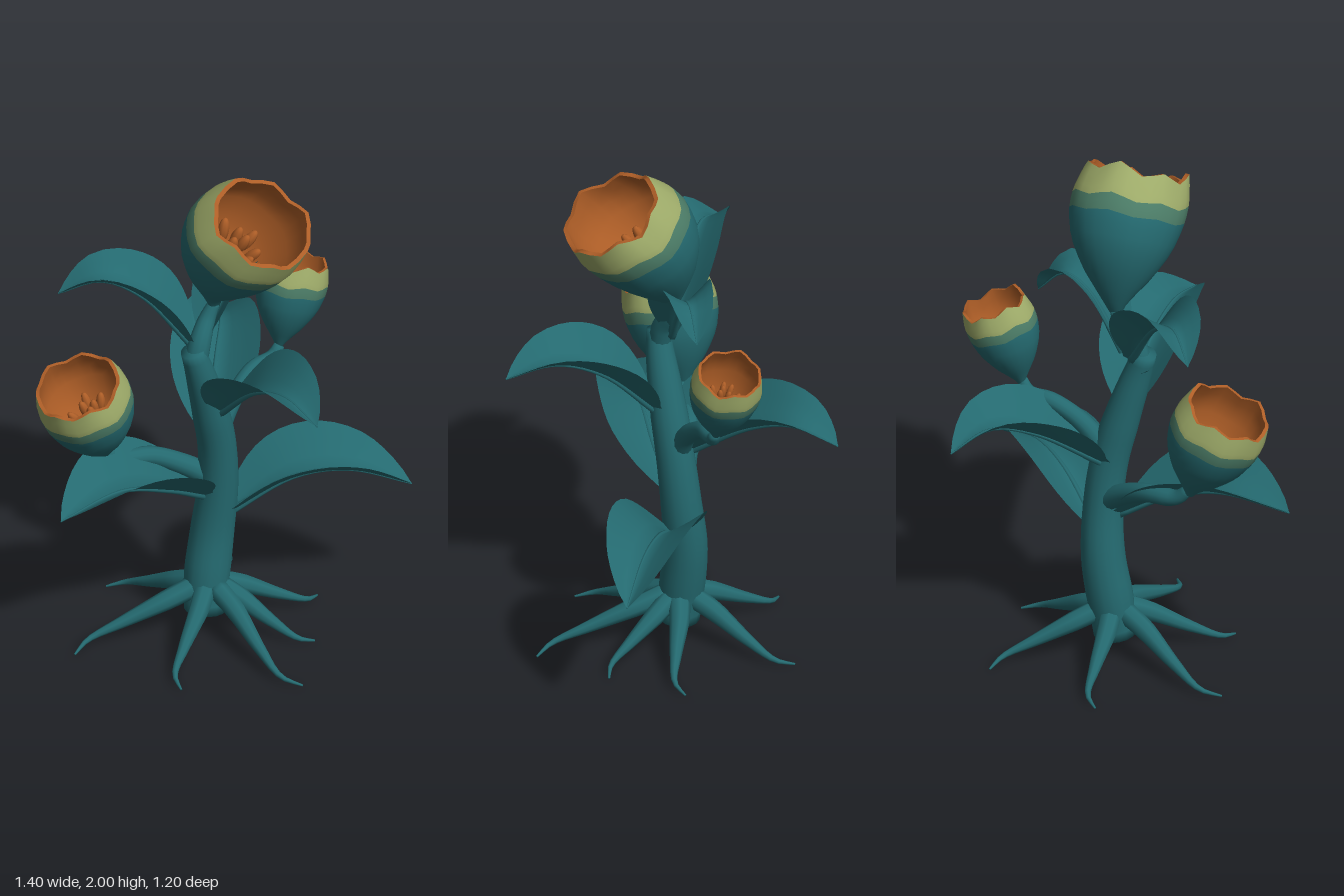
import * as THREE from 'three';

const V = (p) => new THREE.Vector3(...p);
const side = THREE.DoubleSide;
const teal = new THREE.MeshStandardMaterial({ color: 0x24696f, side });
teal.name = 'teal plant';
const midGreen = new THREE.MeshStandardMaterial({ color: 0x4b7b66, side });
midGreen.name = 'mid green band';
const paleGreen = new THREE.MeshStandardMaterial({ color: 0x9ca968, side });
paleGreen.name = 'pale green band';
const orange = new THREE.MeshStandardMaterial({ color: 0xae5e27, side });
orange.name = 'orange lining';

// Skin a list of point rows; closed rows wrap round. Returns an indexed geometry.
function skin(rows, closed) {
  const n = rows[0].length, span = closed ? n : n - 1, index = [];
  for (let i = 0; i < rows.length - 1; i++) {
    for (let j = 0; j < span; j++) {
      const k = (j + 1) % n;
      const a = i * n + j, b = i * n + k, c = a + n, d = b + n;
      index.push(a, c, b, b, c, d);
    }
  }
  const g = new THREE.BufferGeometry().setFromPoints(rows.flat());
  g.setIndex(index);
  g.computeVertexNormals();
  return g;
}

function add(parent, geometry, material, name) {
  const mesh = new THREE.Mesh(geometry, material);
  mesh.name = name;
  parent.add(mesh);
  return mesh;
}

// Tube whose radius follows a list of values, closed at both ends
function taperedTube(points, radii, steps = 20, sides = 12) {
  const curve = new THREE.CatmullRomCurve3(points.map(V));
  const frames = curve.computeFrenetFrames(steps, false);
  const ring = (i, r) => Array.from({ length: sides }, (_, j) => {
    const t = (j / sides) * Math.PI * 2;
    return curve.getPointAt(i / steps)
      .addScaledVector(frames.normals[i], r * Math.cos(t))
      .addScaledVector(frames.binormals[i], -r * Math.sin(t));
  });
  const rows = [ring(0, 0)];
  for (let i = 0; i <= steps; i++) {
    const f = (i / steps) * (radii.length - 1);
    const k = Math.min(Math.floor(f), radii.length - 2);
    rows.push(ring(i, THREE.MathUtils.lerp(radii[k], radii[k + 1], f - k)));
  }
  rows.push(ring(steps, 0));
  return skin(rows, true);
}

// Arched leaf with a deep V fold along the midrib
function makeLeaf(points, width) {
  const leaf = new THREE.Group();
  leaf.name = 'leaf';
  const curve = new THREE.CatmullRomCurve3(points.map(V));
  const heading = V(points[points.length - 1]).sub(V(points[0])).setY(0);
  const across = new THREE.Vector3(0, 1, 0).cross(heading).normalize();
  const rows = [];
  for (let i = 0; i <= 18; i++) {
    const u = i / 18;
    const blade = Math.pow(Math.max(0, Math.sin(Math.PI * Math.pow(u, 0.9))), 0.8);
    const w = width * Math.max(blade, 0.2 * (1 - u));
    const up = curve.getTangentAt(u).cross(across).normalize();
    rows.push([-1, -0.66, -0.33, 0, 0.33, 0.66, 1].map((v) => curve.getPointAt(u)
      .addScaledVector(across, v * w)
      .addScaledVector(up, 0.7 * w * Math.pow(Math.abs(v), 1.2))));
  }
  add(leaf, skin(rows, false), teal, 'leafBlade');
  add(leaf, taperedTube(points, [0.016, 0.009, 0.003], 18, 6), teal, 'midrib');
  return leaf;
}

// Cup profile as (radius, height)
const profile = new THREE.SplineCurve([
  [0.018, 0], [0.055, 0.06], [0.11, 0.13], [0.153, 0.2], [0.187, 0.27],
  [0.208, 0.35], [0.215, 0.41], [0.211, 0.47], [0.192, 0.55],
].map(([x, y]) => new THREE.Vector2(x, y)));

// Flower cup that sags away from its heading
function makeFlower(base, rim, radiusScale, bend, phase) {
  const flower = new THREE.Group();
  flower.name = 'flower';
  const axis = V(rim).sub(V(base));
  const heading = axis.clone().setY(0).normalize();
  flower.position.copy(V(base));
  flower.scale.set(radiusScale, axis.length() / 0.55, radiusScale);
  flower.quaternion.setFromUnitVectors(new THREE.Vector3(0, 1, 0), axis.normalize());
  const sag = (t) => -bend * Math.sin(Math.PI * 0.8 * Math.pow(t, 0.7));

  // Ring at t from base to rim; the rim is jagged and the bands echo it
  const ring = (t, inset) => Array.from({ length: 28 }, (_, j) => {
    const a = (j / 28) * Math.PI * 2;
    const p = profile.getPoint(t), r = Math.max(p.x - inset, 0.003);
    const tooth = Math.abs((j % 4) - 2) - 1;
    const jag = (0.017 * tooth + 0.011 * Math.sin(a * 3 + phase)) * Math.pow(t, 3);
    return new THREE.Vector3(r * Math.cos(a), p.y + jag, r * Math.sin(a))
      .addScaledVector(heading, sag(t));
  });

  // Outer cup: teal, mid green and pale green bands
  const ts = [0, 0.09, 0.18, 0.27, 0.36, 0.45, 0.53, 0.61, 0.68, 0.75, 0.815, 0.87, 0.935, 1];
  const cup = skin(ts.map((t) => ring(t, 0)), true);
  const perRow = 28 * 6;
  cup.addGroup(0, 8 * perRow, 0);
  cup.addGroup(8 * perRow, 2 * perRow, 1);
  cup.addGroup(10 * perRow, 3 * perRow, 2);
  add(flower, cup, [teal, midGreen, paleGreen], 'cup');

  // Orange lip and lining
  add(flower, skin([ring(1, 0), ring(1, 0.016)], true), orange, 'lip');
  const inner = [1, 0.9, 0.78, 0.65, 0.5, 0.38, 0.27, 0.18, 0.1];
  add(flower, skin(inner.map((t) => ring(t, 0.016)), true), orange, 'lining');

  // Stamens spreading from the middle of the cup
  for (let i = 0; i < 9; i++) {
    const a = i * 2.4 + phase, r = i < 3 ? 0.025 : 0.075;
    const foot = new THREE.Vector3(0, 0.1, 0).addScaledVector(heading, sag(0.2));
    const tip = new THREE.Vector3(r * Math.cos(a), i < 3 ? 0.35 : 0.32, r * Math.sin(a))
      .addScaledVector(heading, sag(0.5));
    const lean = tip.clone().sub(foot).normalize();
    add(flower, new THREE.TubeGeometry(new THREE.LineCurve3(foot, tip), 1, 0.007, 5), orange, 'filament');
    const anther = add(flower, new THREE.SphereGeometry(0.021, 8, 8), orange, 'anther');
    anther.scale.y = 2.6;
    anther.position.copy(tip);
    anther.quaternion.setFromUnitVectors(new THREE.Vector3(0, 1, 0), lean);
  }
  return flower;
}

export function createModel() {
  const plant = new THREE.Group();
  plant.name = 'floweringPlant';

  // Stem, neck and side branches
  const stem = [[-0.01, 0.08, -0.06], [0, 0.2, -0.07], [0.03, 0.4, -0.08], [0.043, 0.6, -0.062],
    [0.027, 0.8, -0.042], [-0.02, 1.0, -0.02], [-0.078, 1.2, 0], [-0.1, 1.27, 0]];
  add(plant, taperedTube(stem, [0.08, 0.087, 0.082, 0.076, 0.072, 0.07, 0.06, 0.045], 32, 16), teal, 'stem');
  add(plant, taperedTube([[-0.09, 1.2, 0], [-0.06, 1.3, -0.01], [-0.02, 1.37, -0.03], [0.01, 1.43, -0.03]],
    [0.045, 0.042, 0.034, 0.022]), teal, 'neck');
  add(plant, taperedTube([[0.02, 0.8, -0.05], [0.11, 0.93, -0.08], [0.22, 1.01, -0.12], [0.32, 1.03, -0.14],
    [0.35, 1.07, -0.14]], [0.045, 0.038, 0.034, 0.032, 0.02]), teal, 'branch');
  add(plant, taperedTube([[0.02, 0.64, -0.07], [-0.08, 0.71, -0.1], [-0.2, 0.77, -0.13], [-0.34, 0.8, -0.135],
    [-0.39, 0.85, -0.13]], [0.045, 0.04, 0.036, 0.034, 0.02]), teal, 'branch');

  // Roots: far ends on the ground, tips hooked to one side
  const ends = [[-0.53, -0.12], [-0.31, 0.28], [0.09, 0.48], [0.28, 0.24],
    [0.44, -0.02], [0.28, -0.45], [-0.2, -0.46]];
  for (const [dx, z] of ends) {
    const dz = z + 0.06;
    const at = (f, y, bend) => [dx * f - dz * bend, y, -0.06 + dz * f + dx * bend];
    add(plant, taperedTube([at(0.08, 0.19, 0), at(0.3, 0.15, 0.01), at(0.62, 0.08, 0.06),
      at(0.87, 0.03, 0.08), at(1, 0.01, 0)], [0.042, 0.037, 0.026, 0.014, 0.004], 16, 8), teal, 'root');
  }

  // Leaves: midrib points and half width
  const leaves = [
    [[[-0.02, 0.58, -0.05], [-0.2, 0.69, 0], [-0.42, 0.77, 0.025], [-0.7, 0.755, 0.07]], 0.185],
    [[[0.07, 0.47, -0.05], [0.3, 0.62, 0.055], [0.48, 0.64, 0.14], [0.695, 0.56, 0.235]], 0.165],
    [[[0, 0.97, 0.02], [0.035, 1.17, 0.23], [0.06, 1.24, 0.41], [0.085, 1.21, 0.595]], 0.16],
    [[[0.02, 0.8, -0.09], [0.18, 0.98, -0.31], [0.28, 1.03, -0.45], [0.35, 0.975, -0.6]], 0.165],
    [[[-0.07, 1.25, -0.04], [-0.24, 1.48, -0.13], [-0.37, 1.55, -0.2], [-0.5, 1.485, -0.295]], 0.135],
    [[[-0.03, 1.27, -0.04], [0.12, 1.5, -0.06], [0.21, 1.54, -0.07], [0.32, 1.44, -0.08]], 0.11],
  ];
  for (const [points, width] of leaves) plant.add(makeLeaf(points, width));

  // Flowers: base, rim centre, radius scale, sag
  plant.add(makeFlower([0.01, 1.41, -0.03], [0.09, 1.855, 0.245], 1.01, 0.085, 0.4));
  plant.add(makeFlower([-0.395, 0.83, -0.135], [-0.545, 1.2, -0.085], 0.82, 0.02, 1.7));
  plant.add(makeFlower([0.35, 1.06, -0.145], [0.455, 1.38, -0.185], 0.62, 0.015, 2.9));
  return plant;
}
